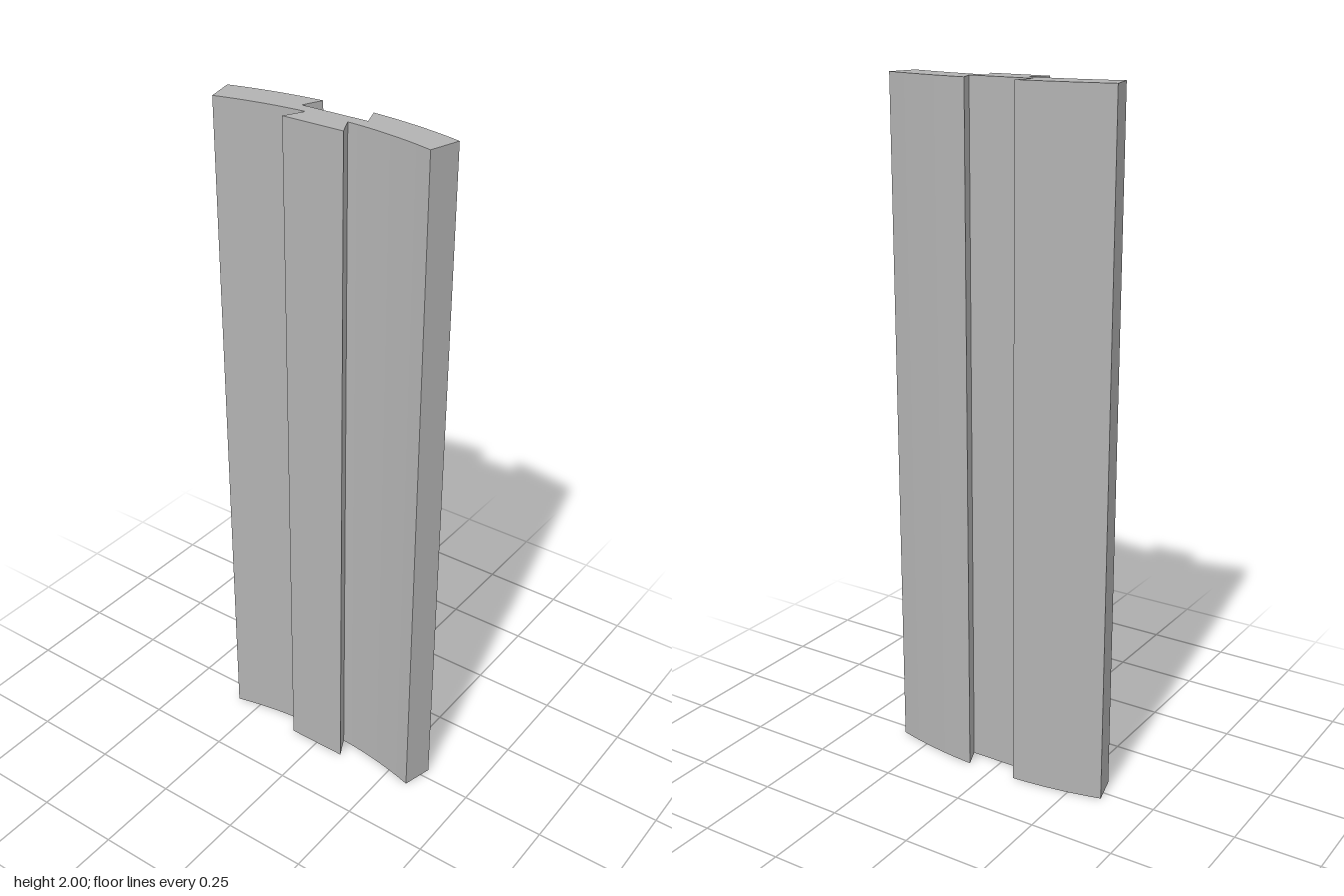
import * as THREE from 'three';
import { toCreasedNormals } from 'three/addons/utils/BufferGeometryUtils.js';

export function createModel() {
  const group = new THREE.Group();
  group.name = 'curvedStave';
  const grey = new THREE.MeshStandardMaterial({ color: 0xb2b2b2 });
  grey.name = 'plain grey';

  // Cross-section: a 30 degree ring segment; shape y points to the back.
  const outerR = 1.341, innerR = 1.25, centreY = 0.0762 - outerR;
  const half = Math.PI / 12, up = Math.PI / 2;
  const grooveAngle = Math.asin(0.076 / outerR);
  const footAngle = Math.asin(0.063 / innerR);

  const s = new THREE.Shape();
  // Outer arc, left half, then the dovetail groove, then the right half
  s.absarc(0, centreY, outerR, up + half, up + grooveAngle, true);
  s.lineTo(-0.099, 0.017);
  s.lineTo(0.099, 0.017);
  s.absarc(0, centreY, outerR, up - grooveAngle, up - half, true);
  // Inner arc with the dovetail tongue in the middle
  s.absarc(0, centreY, innerR, up - half, up - footAngle, false);
  s.lineTo(0.091, -0.0735);
  s.lineTo(-0.091, -0.0735);
  s.absarc(0, centreY, innerR, up + footAngle, up + half, false);
  s.closePath();

  // Raise the section to full height and stand it on the ground
  const body = new THREE.ExtrudeGeometry(s, { depth: 2, bevelEnabled: false, curveSegments: 12 });
  body.rotateX(-Math.PI / 2);
  const mesh = new THREE.Mesh(toCreasedNormals(body, 0.4), grey);
  mesh.name = 'dovetailStave';
  group.add(mesh);
  return group;
}
